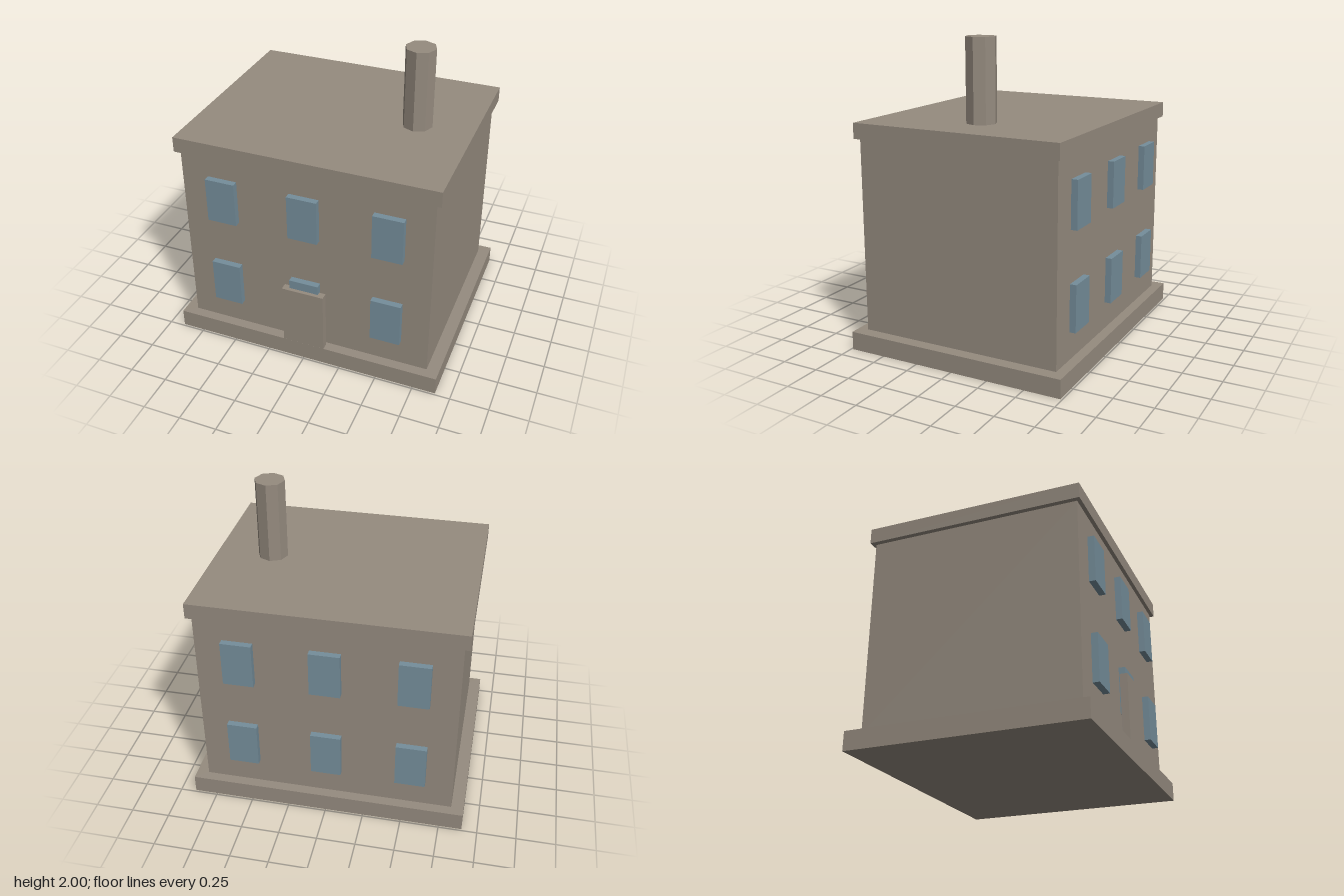
import * as THREE from 'three';

export function createModel() {
  const house = new THREE.Group();
  house.name = 'house';
  const stone = new THREE.MeshStandardMaterial({ color: 0x958b7f });
  stone.name = 'stone';
  const glass = new THREE.MeshStandardMaterial({ color: 0x758e9b });
  glass.name = 'glass';

  // Box given by its size, bottom height and centre in x and z
  function addBox(name, material, w, h, d, bottom, x = 0, z = 0) {
    const mesh = new THREE.Mesh(new THREE.BoxGeometry(w, h, d), material);
    mesh.name = name;
    mesh.position.set(x, bottom + h / 2, z);
    house.add(mesh);
  }

  // Stacked body
  addBox('plinth', stone, 1.8, 0.12, 1.475, 0);
  addBox('walls', stone, 1.64, 1.26, 1.345, 0.12);
  addBox('roofSlab', stone, 1.705, 0.1, 1.395, 1.376);

  // Door panel, standing slightly clear of the wall
  addBox('door', stone, 0.28, 0.42, 0.048, 0.12, 0, 0.713);

  // Three columns and two rows of windows on front and back
  for (const side of [1, -1]) {
    for (const x of [-0.546, 0, 0.546]) {
      for (const bottom of [0.3, 0.93]) {
        addBox(side > 0 ? 'frontWindow' : 'backWindow', glass, 0.195, 0.3, 0.043, bottom, x, side * 0.692);
      }
    }
  }

  // Octagonal chimney
  const chimney = new THREE.Mesh(
    new THREE.CylinderGeometry(0.097, 0.097, 0.525, 8).toNonIndexed(), stone);
  chimney.geometry.computeVertexNormals();
  chimney.name = 'chimney';
  chimney.position.set(0.49, 1.7375, 0);
  house.add(chimney);

  return house;
}
